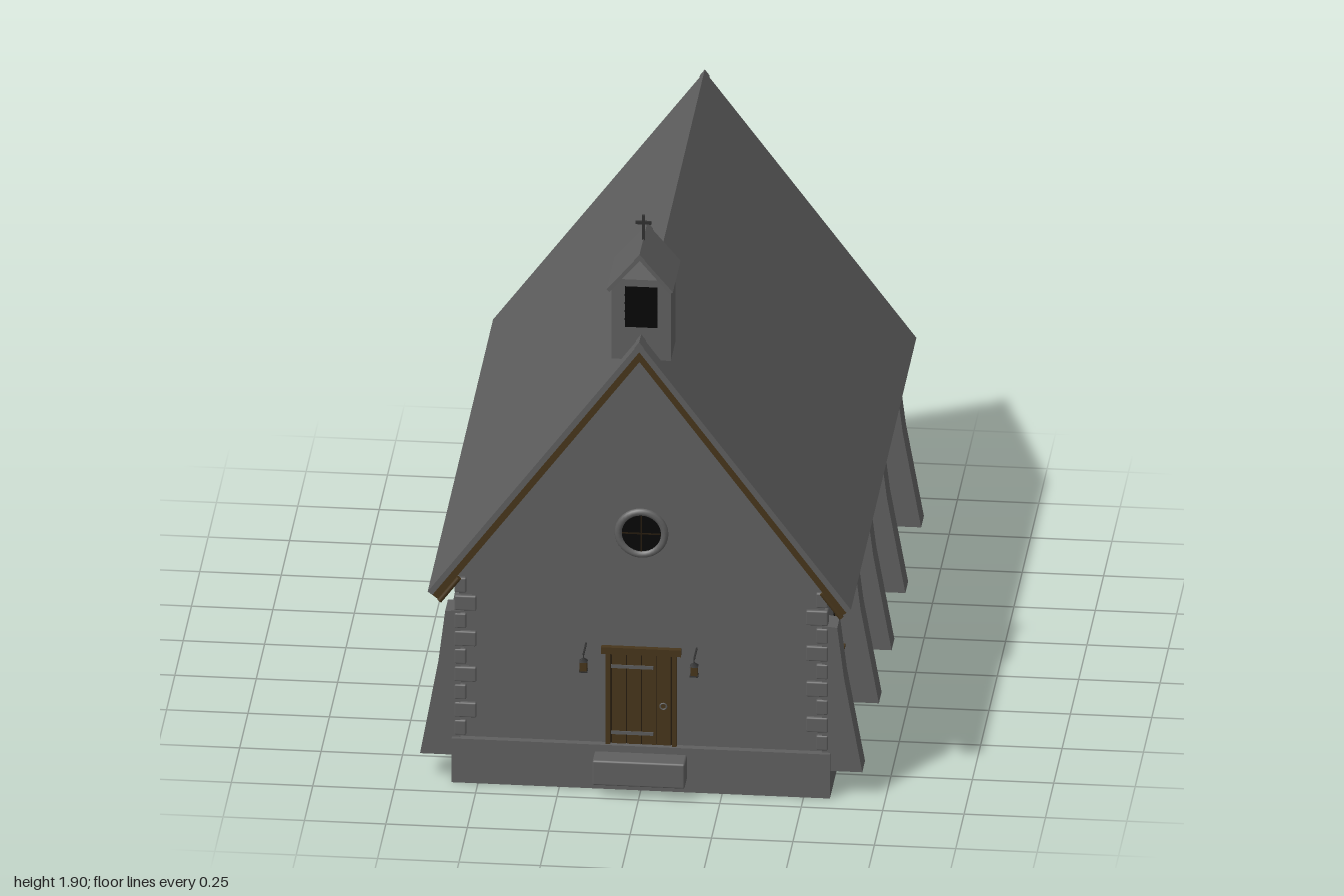
import * as THREE from 'three';
import { RoundedBoxGeometry } from 'three/addons/geometries/RoundedBoxGeometry.js';

const mat = (name, color) => {
  const m = new THREE.MeshStandardMaterial({ color });
  m.name = name;
  return m;
};

export function createModel() {
  const stone = mat('stone', 0x5f5f5f);
  const slate = mat('slate', 0x5e5e5e);
  const wood = mat('wood', 0x46351b);
  const darkWood = mat('dark wood', 0x241a0d);
  const iron = mat('iron', 0x303030);
  const steel = mat('worn iron', 0x5c5c5c);
  const glass = mat('dark glass', 0x060606);
  const root = new THREE.Group();

  const add = (parent, name, geo, material, x = 0, y = 0, z = 0) => {
    const m = new THREE.Mesh(geo, material);
    m.name = name;
    m.position.set(x, y, z);
    parent.add(m);
    return m;
  };
  const box = (parent, name, material, w, h, d, x, y, z) =>
    add(parent, name, new THREE.BoxGeometry(w, h, d), material, x, y, z);
  const group = (name, parent = root) => {
    const g = new THREE.Group();
    g.name = name;
    parent.add(g);
    return g;
  };
  const shapeOf = (pts) => new THREE.Shape(pts.map(([x, y]) => new THREE.Vector2(x, y)));
  const extrude = (shape, depth) => new THREE.ExtrudeGeometry(shape, { depth, bevelEnabled: false });

  // Inverted V of even thickness t, from ridge height top to the eaves (w, eave)
  const chevron = (parent, name, material, w, top, eave, t, z0, z1) => {
    const len = Math.hypot(w, top - eave);
    const nx = (top - eave) / len * t, ny = w / len * t;
    const s = shapeOf([[0, top], [w, eave], [w - nx, eave - ny], [0, top - t * len / w],
      [-w + nx, eave - ny], [-w, eave]]);
    return add(parent, name, extrude(s, z1 - z0), material, 0, 0, z0);
  };

  // Gabled walls, closed underneath
  const W = 0.561, Z0 = -0.927, Z1 = 0.908;
  add(root, 'walls', extrude(shapeOf([[-W, 0.13], [W, 0.13], [W, 0.749], [0, 1.5], [-W, 0.749]]), Z1 - Z0),
    stone, 0, 0, Z0);

  // Hollow plinth
  const ring = shapeOf([[-0.581, -0.93], [0.581, -0.93], [0.581, 0.948], [-0.581, 0.948]]);
  ring.holes.push(new THREE.Path([[-0.545, -0.9], [-0.545, 0.92], [0.545, 0.92], [0.545, -0.9]]
    .map(([x, y]) => new THREE.Vector2(x, y))));
  add(root, 'plinth', extrude(ring, 0.148), stone).rotation.x = -Math.PI / 2;

  // Roof with ridge cap and gable boards
  chevron(root, 'roof', slate, 0.65, 1.528, 0.66, 0.018, -0.996, 0.973);
  chevron(root, 'ridgeCap', slate, 0.015, 1.533, 1.513, 0.012, -0.999, 0.976);
  chevron(root, 'frontGableBoard', wood, 0.637, 1.499, 0.647, 0.022, 0.935, 0.967);
  chevron(root, 'backGableBoard', wood, 0.637, 1.499, 0.647, 0.022, -0.99, -0.96);

  // Round rafter tails below the eaves
  const rafters = group('rafterTails');
  const tail = new THREE.CylinderGeometry(0.008, 0.008, 0.1, 12);
  for (const s of [-1, 1]) for (let i = 0; i < 15; i++)
    add(rafters, 'rafterTail', tail, wood, s * 0.587, 0.656, 0.94 - i * 0.137).rotation.z = s * 0.642;

  // Sloping buttresses
  const buttresses = group('buttresses');
  for (const s of [-1, 1]) for (const z of [0.875, 0.376, -0.008, -0.422, -0.897]) {
    const p = [[0.555, 0.087], [0.679, 0.087], [0.623, 0.4], [0.602, 0.57], [0.555, 0.575]].map(([x, y]) => [s * x, y]);
    add(buttresses, 'buttress', extrude(shapeOf(p), 0.083), stone, 0, 0, z - 0.0415);
  }

  // Rounded corner stones, alternately short and long
  const quoins = group('cornerStones');
  for (const s of [-1, 1]) for (const [zc, dir] of [[Z1 + 0.012, -1], [Z0 - 0.012, 1]])
    for (let i = 0; i < 9; i++) {
      const lx = i % 2 ? 0.068 : 0.037, lz = i % 2 ? 0.037 : 0.068;
      add(quoins, 'cornerStone', new RoundedBoxGeometry(lx, 0.05, lz, 1, 0.005), stone,
        s * (0.574 - lx / 2), 0.18 + i * 0.06, zc + dir * lz / 2);
    }

  // Window facing +z with casing, glazing bars, lintel and sill
  const makeWindow = (name, w, h, rows) => {
    const g = group(name);
    box(g, 'pane', glass, w, h, 0.008, 0, 0, 0.001);
    for (const s of [-1, 1]) box(g, 'jamb', wood, 0.01, h, 0.02, s * (w / 2 - 0.005), 0, 0.002);
    box(g, 'mullion', darkWood, 0.007, h, 0.014, 0, 0, 0.001);
    for (let i = 1; i < rows; i++)
      box(g, 'glazingBar', darkWood, w - 0.02, 0.004, 0.012, 0, h * (i / rows - 0.5), 0.001);
    box(g, 'lintel', wood, w + 0.036, 0.016, 0.034, 0, h / 2 + 0.004, 0.002);
    box(g, 'sill', wood, w + 0.046, 0.01, 0.044, 0, -h / 2 - 0.004, 0.004);
    return g;
  };
  for (const s of [-1, 1]) for (const z of [0.589, 0.188, -0.184, -0.667]) {
    const g = makeWindow('sideWindow', 0.084, 0.258, 3);
    g.position.set(s * W, 0.462, z);
    g.rotation.y = s * Math.PI / 2;
  }
  const back = makeWindow('backWindow', 0.095, 0.15, 2);
  back.position.set(0, 0.42, Z0);
  back.rotation.y = Math.PI;

  // Round gable window
  const round = group('roundWindow');
  round.position.set(0, 0.858, Z1);
  add(round, 'rim', new THREE.TorusGeometry(0.071, 0.012, 8, 32), stone);
  add(round, 'pane', new THREE.CircleGeometry(0.066, 32), glass, 0, 0, 0.003);
  for (const a of [0, Math.PI / 2])
    box(round, 'glazingBar', darkWood, 0.118, 0.004, 0.004, 0, 0, 0.004).rotation.z = a;

  // Plank door with frame, straps and ring handle
  const door = group('door');
  door.position.z = Z1;
  box(door, 'doorBacking', darkWood, 0.2, 0.33, 0.006, 0, 0.295, 0);
  for (let i = 0; i < 4; i++)
    box(door, 'plank', wood, 0.043, 0.318, 0.012, -0.069 + i * 0.046, 0.295, 0);
  for (const s of [-1, 1]) box(door, 'doorJamb', wood, 0.014, 0.33, 0.03, s * 0.102, 0.295, 0);
  box(door, 'doorLintel', wood, 0.245, 0.022, 0.036, 0, 0.464, 0);
  for (const y of [0.408, 0.185]) box(door, 'hingeStrap', steel, 0.13, 0.011, 0.004, -0.028, y, 0.007);
  add(door, 'ringHandle', new THREE.TorusGeometry(0.01, 0.0025, 6, 16), steel, 0.068, 0.28, 0.008);
  add(root, 'doorStep', new RoundedBoxGeometry(0.284, 0.083, 0.09, 1, 0.006), stone, 0, 0.084, 0.955);

  // Hanging lanterns on brackets
  for (const s of [-1, 1]) {
    const g = group('lantern');
    g.position.set(s * 0.17, 0, 0);
    box(g, 'bracket', iron, 0.005, 0.005, 0.085, 0, 0.478, 0.947);
    box(g, 'hanger', iron, 0.003, 0.02, 0.003, 0, 0.468, 0.987);
    add(g, 'cap', new THREE.ConeGeometry(0.018, 0.014, 4), iron, 0, 0.461, 0.987).rotation.y = Math.PI / 4;
    box(g, 'lanternBody', wood, 0.022, 0.032, 0.022, 0, 0.438, 0.987);
    box(g, 'lanternBase', iron, 0.026, 0.004, 0.026, 0, 0.423, 0.987);
  }

  // Bell turret with louvred openings, open gable roof and cross
  const turret = group('bellTurret');
  turret.position.z = 0.847;
  add(turret, 'turretWalls', extrude(shapeOf([[-0.091, 1.447], [0.091, 1.447], [0.091, 1.7],
    [0.077, 1.716], [-0.077, 1.716], [-0.091, 1.7]]), 0.14), stone, 0, 0, -0.07);
  for (const s of [-1, 1]) {
    box(turret, 'opening', glass, 0.1, 0.135, 0.006, 0, 1.625, s * 0.071);
    for (let i = 1; i < 5; i++)
      box(turret, 'louvre', glass, 0.1, 0.005, 0.006, 0, 1.5575 + i * 0.027, s * 0.073);
  }
  chevron(turret, 'turretRoof', slate, 0.102, 1.82, 1.7, 0.012, -0.115, 0.115);
  chevron(turret, 'turretRidge', slate, 0.018, 1.824, 1.803, 0.008, -0.118, 0.118);
  box(turret, 'crossPost', iron, 0.009, 0.09, 0.009, 0, 1.857, 0);
  box(turret, 'crossArm', iron, 0.048, 0.009, 0.009, 0, 1.877, 0);

  return root;
}
